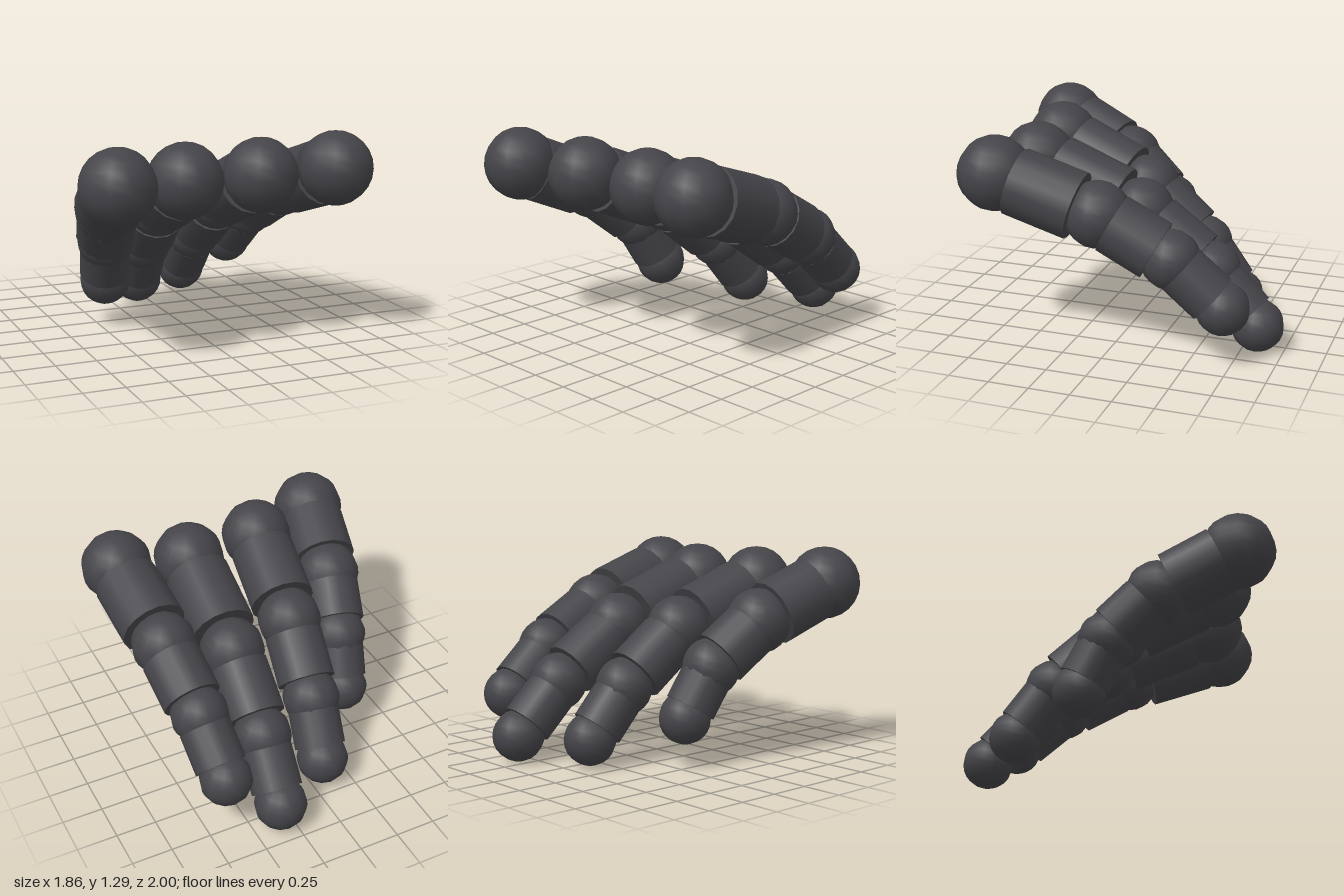
import * as THREE from 'three';

const darkGrey = new THREE.MeshStandardMaterial({ color: 0x454449 });
darkGrey.name = 'darkGrey';

// Joint centres of each finger, knuckle to tip
const fingers = {
  littleFinger: [[-0.705, 1.07, 0.77], [-0.6, 0.86, 0.29], [-0.51, 0.6, -0.02], [-0.46, 0.305, -0.185]],
  ringFinger: [[-0.25, 1.055, 0.635], [-0.175, 0.8, 0.02], [-0.125, 0.475, -0.375], [-0.085, 0.175, -0.61]],
  middleFinger: [[0.25, 1.05, 0.59], [0.275, 0.79, -0.09], [0.3, 0.47, -0.545], [0.325, 0.165, -0.84]],
  indexFinger: [[0.705, 1.075, 0.67], [0.665, 0.875, 0.045], [0.635, 0.64, -0.39], [0.615, 0.37, -0.7]],
};
const jointRadii = [0.225, 0.2, 0.178, 0.16];
const jointNames = ['knuckle', 'middleJoint', 'endJoint', 'fingertip'];
const boneRadii = [0.205, 0.182, 0.158];
const boneNames = ['lowerBone', 'middleBone', 'endBone'];
const boneShare = 0.6; // part of the gap between joints filled by a bone

function addJoint(parent, i, p) {
  const mesh = new THREE.Mesh(new THREE.SphereGeometry(jointRadii[i], 12, 12), darkGrey);
  mesh.name = jointNames[i];
  mesh.position.copy(p);
  parent.add(mesh);
}

function addBone(parent, i, a, b) {
  const dir = b.clone().sub(a);
  const length = dir.length() * boneShare;
  const mesh = new THREE.Mesh(new THREE.CylinderGeometry(boneRadii[i], boneRadii[i], length, 16), darkGrey);
  mesh.name = boneNames[i];
  mesh.position.copy(a).lerp(b, 0.5);
  mesh.quaternion.setFromUnitVectors(new THREE.Vector3(0, 1, 0), dir.normalize());
  parent.add(mesh);
}

export function createModel() {
  const model = new THREE.Group();
  model.name = 'jointedFingers';
  for (const [name, joints] of Object.entries(fingers)) {
    const finger = new THREE.Group();
    finger.name = name;
    const points = joints.map((j) => new THREE.Vector3(...j));
    points.forEach((p, i) => {
      addJoint(finger, i, p);
      if (i < 3) addBone(finger, i, p, points[i + 1]);
    });
    model.add(finger);
  }
  return model;
}
